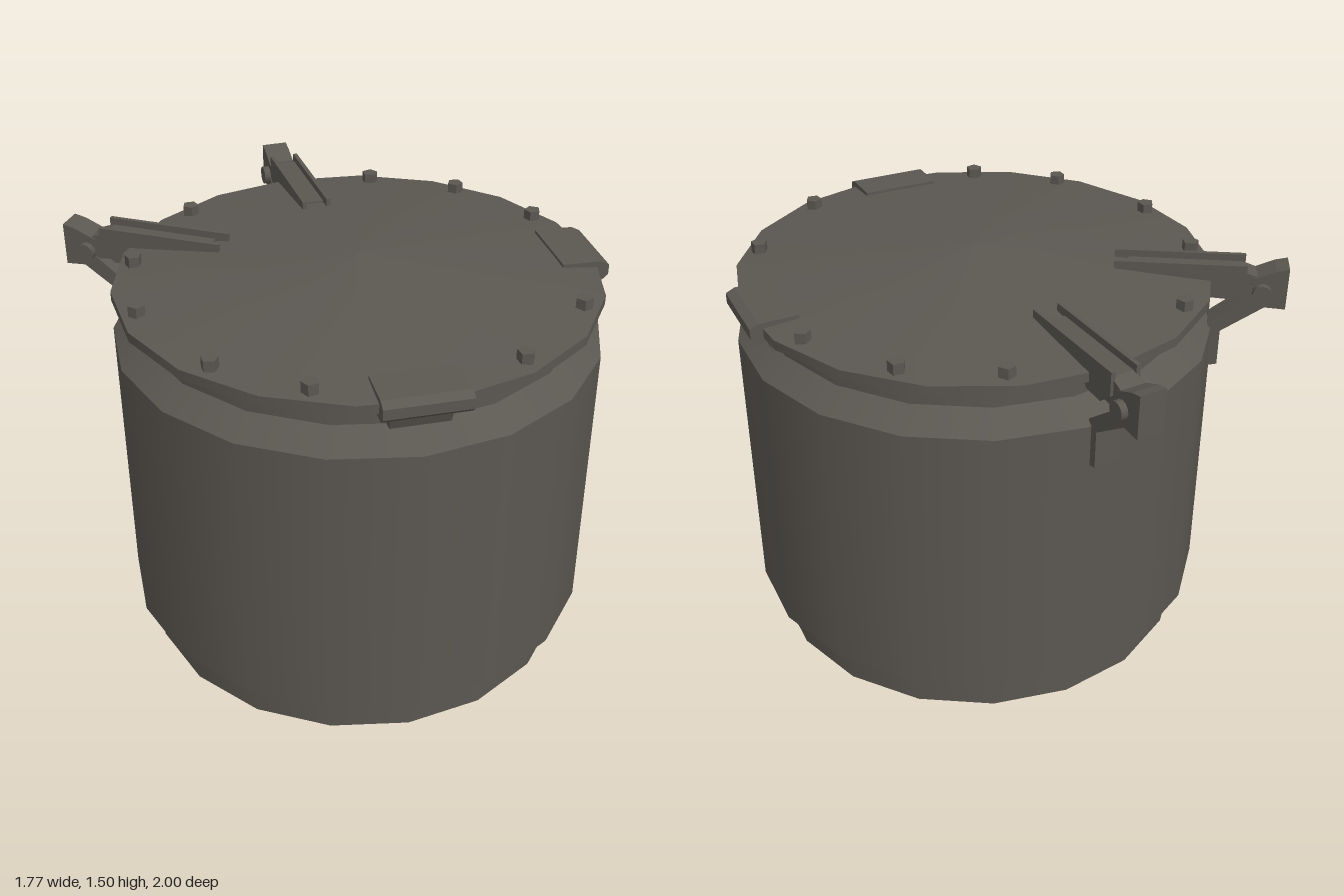
import * as THREE from 'three';
import { mergeGeometries } from 'three/addons/utils/BufferGeometryUtils.js';

const SIDES = 18;
const deg = THREE.MathUtils.degToRad;
const metal = new THREE.MeshStandardMaterial({ color: 0x5b5751 });
metal.name = 'dark metal';
const sheet = new THREE.MeshStandardMaterial({ color: 0x5b5751, side: THREE.DoubleSide });
sheet.name = 'dark metal sheet';

function mesh(name, geometry, parent, material = metal) {
  const m = new THREE.Mesh(geometry, material);
  m.name = name;
  parent.add(m);
  return m;
}

// Turned shell, smooth around the axis and sharp between profile segments
function turned(profile) {
  const bands = [];
  for (let i = 1; i < profile.length; i++) {
    const pair = [profile[i - 1], profile[i]].map(([r, y]) => new THREE.Vector2(r, y));
    bands.push(new THREE.LatheGeometry(pair, SIDES));
  }
  return mergeGeometries(bands);
}

// Plate cut from a (radius, height) outline; radius runs along local +z
function plate(outline, width, offset = 0) {
  const shape = new THREE.Shape(outline.map(([r, y]) => new THREE.Vector2(r, y)));
  const g = new THREE.ExtrudeGeometry(shape, { depth: width, bevelEnabled: false });
  g.translate(0, 0, -width / 2);
  g.rotateY(-Math.PI / 2);
  g.translate(offset, 0, 0);
  return g;
}

function radialGroup(name, angle, parent) {
  const g = new THREE.Group();
  g.name = name;
  g.rotation.y = deg(angle);
  parent.add(g);
  return g;
}

function addClip(angle, parent) {
  const clip = radialGroup('lidClip', angle, parent);
  mesh('clipPlate', plate([
    [0.72, 1.40], [0.80, 1.37], [0.875, 1.372], [0.897, 1.392],
    [0.897, 1.43], [0.865, 1.446], [0.72, 1.449]], 0.295), clip);
  mesh('clipJaw', plate([
    [0.74, 1.30], [0.81, 1.30], [0.825, 1.34], [0.86, 1.38], [0.74, 1.39]], 0.205), clip);
}

function addHinge(angle, parent) {
  const hinge = radialGroup('hinge', angle, parent);
  // bracket fixed to the body wall
  mesh('hingeBracket', plate([
    [0.865, 1.07], [0.91, 1.08], [0.91, 1.22], [1.06, 1.325], [1.135, 1.32],
    [1.135, 1.48], [1.09, 1.47], [1.01, 1.435], [1.01, 1.365], [0.865, 1.25]], 0.1), hinge);
  // channel-shaped arm fixed to the lid
  mesh('hingeArm', plate([
    [0.56, 1.44], [0.80, 1.42], [0.86, 1.37], [1.03, 1.355], [1.03, 1.44],
    [0.97, 1.462], [0.56, 1.462]], 0.09), hinge);
  for (const side of [-1, 1]) {
    mesh('hingeRail', plate([
      [0.51, 1.45], [0.78, 1.43], [0.85, 1.36], [0.93, 1.355],
      [0.985, 1.40], [0.985, 1.488], [0.51, 1.488]], 0.016, side * 0.048), hinge);
  }
  const pin = mesh('hingePin', new THREE.CylinderGeometry(0.035, 0.035, 0.15, 12), hinge);
  pin.rotation.z = Math.PI / 2;
  pin.position.set(0, 1.385, 1.045);
}

export function createModel() {
  const model = new THREE.Group();
  model.name = 'drum';
  const drum = new THREE.Group();
  drum.name = 'drumAssembly';
  drum.position.set(-0.01, 0, 0.11);
  model.add(drum);

  // Open foot ring below the recessed floor
  mesh('footRing', turned([[0.82, 0], [0.82, 0.155]]), drum, sheet);

  // Floor, wall, shoulder, neck and flange
  mesh('body', turned([
    [0, 0.155], [0.885, 0.155], [0.885, 1.23], [0.795, 1.30], [0.795, 1.345],
    [0.825, 1.345], [0.825, 1.375], [0, 1.375]]), drum);

  // Lid with rim and low domed top
  const lid = new THREE.Group();
  lid.name = 'lid';
  lid.rotation.y = deg(6);
  drum.add(lid);
  mesh('lidRim', turned([[0.79, 1.36], [0.83, 1.365], [0.875, 1.39], [0.875, 1.425]]), lid, sheet);
  const dome = [[0.875, 1.425], [0.73, 1.438], [0.56, 1.455], [0, 1.505]];
  mesh('lidTop', new THREE.LatheGeometry(dome.map(([r, y]) => new THREE.Vector2(r, y)), SIDES), lid);

  // Five-sided bolts around the lid
  for (const a of [7.8, 38.4, 90.7, 117.8, 143, 199.3, 232.6, 259.4, 291.1, 316]) {
    const bolt = mesh('lidBolt', new THREE.CylinderGeometry(0.031, 0.031, 0.05, 5).toNonIndexed(), drum);
    bolt.geometry.computeVertexNormals();
    bolt.position.set(0.81 * Math.sin(deg(a)), 1.443, 0.81 * Math.cos(deg(a)));
    bolt.rotation.y = deg(a);
  }

  for (const a of [-19.5, 70]) addClip(a, drum);
  for (const a of [164.5, 219.5]) addHinge(a, drum);
  return model;
}
